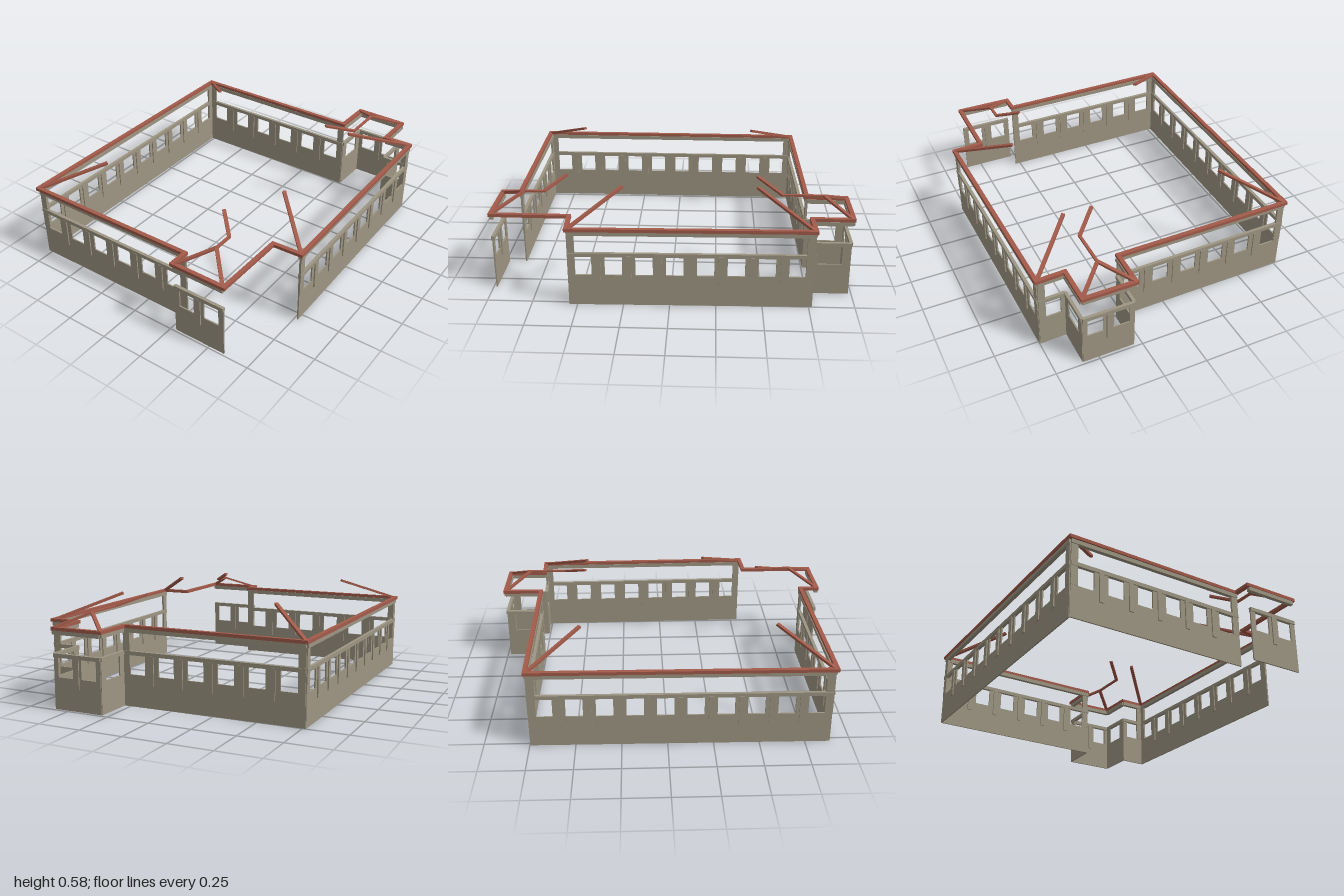
import * as THREE from 'three';

export function createModel() {
  const model = new THREE.Group();
  const stone = new THREE.MeshStandardMaterial({ color: 0x9e9683 });
  stone.name = 'stone';
  const clay = new THREE.MeshStandardMaterial({ color: 0xa35b4a });
  clay.name = 'clay red';

  function box(parent, name, mat, w, h, d, x, y, z) {
    const mesh = new THREE.Mesh(new THREE.BoxGeometry(w, h, d), mat);
    mesh.name = name;
    mesh.position.set(x, y, z);
    parent.add(mesh);
    return mesh;
  }

  // Straight bar between two points, lengthened a little to close corners
  function bar(name, mat, a, b, w, h, extra = 0) {
    const p = new THREE.Vector3(...a), q = new THREE.Vector3(...b);
    const mid = p.clone().add(q).multiplyScalar(0.5);
    const mesh = box(model, name, mat, w, h, p.distanceTo(q) + extra, mid.x, mid.y, mid.z);
    mesh.lookAt(q);
  }

  // Wall with sill, window piers, mullions and top rail; tall = corner strips up to the eave
  function wall(name, [x0, z0], [x1, z1], windows, opening, tallStart, tallEnd) {
    const g = new THREE.Group();
    g.name = name;
    g.position.set(x0, 0, z0);
    g.rotation.y = Math.atan2(-(z1 - z0), x1 - x0);
    model.add(g);
    const len = Math.hypot(x1 - x0, z1 - z0);
    const pitch = len / windows, pier = pitch - opening, t = 0.008;
    box(g, 'lowerWall', stone, len, 0.18, t, len / 2, 0.09, 0);
    box(g, 'topRail', stone, len, 0.022, 0.018, len / 2, 0.3, 0);
    for (let i = 0; i <= windows; i++) {
      const end = i === 0 || i === windows;
      const w = end ? pier / 2 : pier;
      const x = i * pitch + (i === 0 ? w / 2 : i === windows ? -w / 2 : 0);
      box(g, 'windowPier', stone, w, 0.11, t, x, 0.235, 0);
      if (!end) box(g, 'mullion', stone, 0.026, 0.17, 0.022, x, 0.21, 0);
    }
    if (tallStart) box(g, 'cornerPost', stone, 0.04, 0.25, 0.012, 0.02, 0.305, 0);
    if (tallEnd) box(g, 'cornerPost', stone, 0.04, 0.25, 0.012, len - 0.02, 0.305, 0);
    // Olive beam below the eave
    box(g, 'eaveBeam', stone, len, 0.024, 0.022, len / 2, 0.426, 0);
  }

  wall('backWall', [-0.885, -0.775], [0.745, -0.765], 10, 0.093, true, true);
  wall('rightWall', [-0.885, -0.775], [-0.88, 0.28], 6, 0.093, true, true);
  wall('leftWall', [0.745, -0.765], [0.76, 0.29], 6, 0.093, true, true);
  wall('frontWall', [-0.545, 0.768], [0.765, 0.745], 8, 0.093, true, true);
  wall('leftReturnWall', [0.76, 0.59], [0.765, 0.745], 1, 0.1, false, true);
  wall('leftBayBack', [0.76, 0.29], [0.98, 0.295], 1, 0.13, false, false);
  wall('leftBaySide', [0.98, 0.295], [0.98, 0.59], 2, 0.093, false, false);
  wall('leftBayFront', [0.76, 0.59], [0.98, 0.59], 1, 0.13, false, false);
  wall('rightBaySide', [-0.983, 0.28], [-0.983, 0.595], 2, 0.093, false, false);

  // Eave outline following the plan
  const eave = [
    [-0.893, -0.78], [0.75, -0.768], [0.76, 0.285], [0.983, 0.29], [0.983, 0.587], [0.76, 0.587],
    [0.767, 0.748], [-0.545, 0.772], [-0.553, 0.603], [-0.985, 0.598], [-0.985, 0.275], [-0.882, 0.275],
  ];
  eave.forEach(([x, z], i) => {
    const [x2, z2] = eave[(i + 1) % eave.length];
    bar('eave', clay, [x, 0.446, z], [x2, 0.446, z2], 0.024, 0.018, 0.02);
  });

  // Main hip rafters
  const lo = 0.448, mid = 0.522, hi = 0.578;
  [
    [[-0.885, lo, -0.772], [-0.61, hi, -0.495]],
    [[0.745, lo, -0.762], [0.47, hi, -0.487]],
    [[-0.54, lo, 0.767], [-0.272, hi, 0.487]],
    [[0.762, lo, 0.743], [0.47, hi, 0.47]],
  ].forEach(([a, b]) => bar('hipRafter', clay, a, b, 0.02, 0.014));

  // Bay roofs: two hips, a ridge and a valley running up to the main roof
  [
    { out: -0.983, apex: -0.825, inner: -0.715, top: [-0.6, hi, 0.322] },
    { out: 0.983, apex: 0.835, inner: 0.61, top: [0.475, hi, 0.308] },
  ].forEach(({ out, apex, inner, top }) => {
    const peak = [apex, mid, 0.438], joint = [inner, mid, 0.438];
    bar('bayHip', clay, [out, lo, 0.285], peak, 0.02, 0.012);
    bar('bayHip', clay, [out, lo, 0.59], peak, 0.02, 0.012);
    bar('bayRidge', clay, peak, joint, 0.016, 0.01, 0.01);
    bar('bayValley', clay, joint, top, 0.02, 0.012);
  });

  return model;
}
